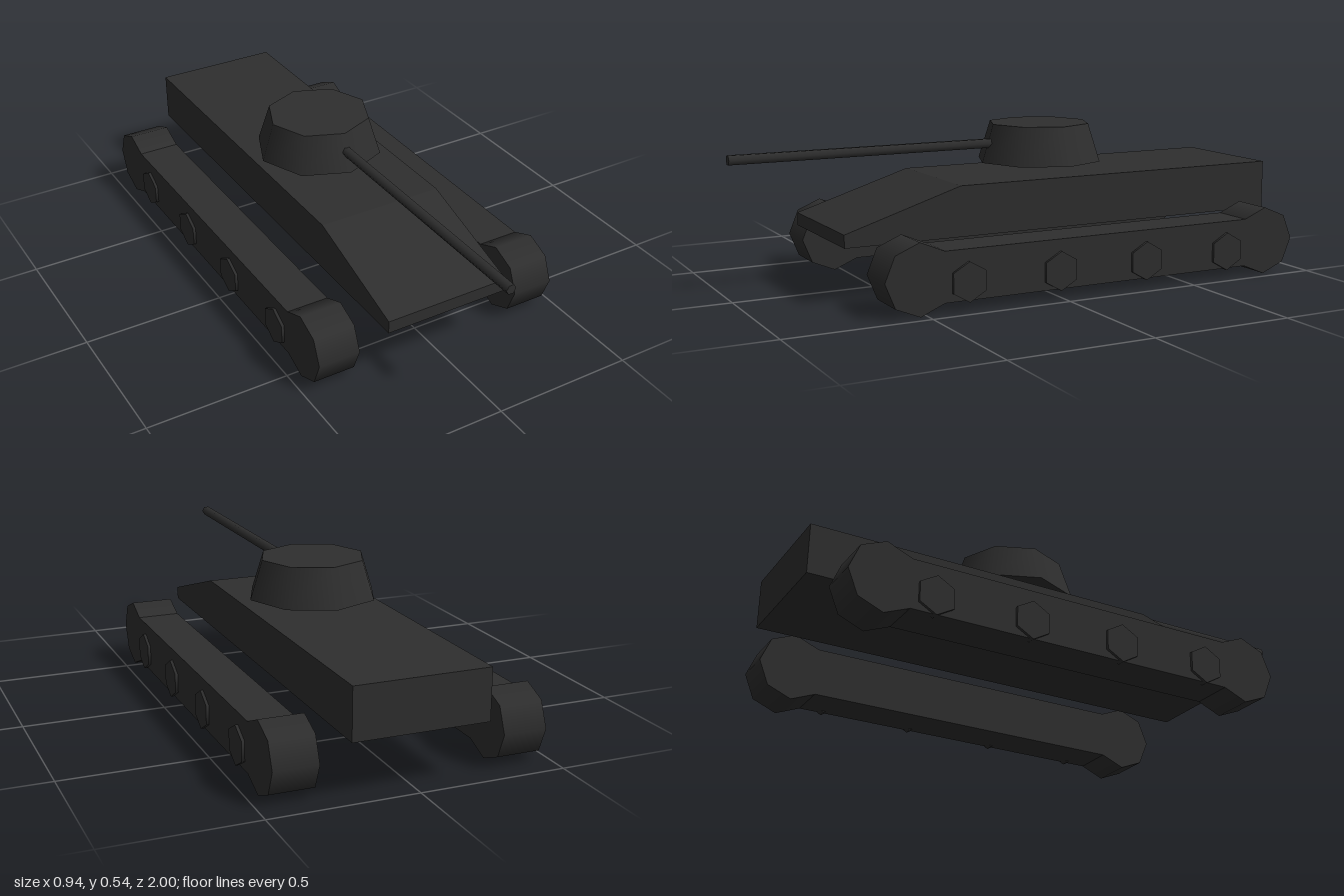
import * as THREE from 'three';

export function createModel() {
  const model = new THREE.Group();
  model.name = 'tank';
  const darkGrey = new THREE.MeshStandardMaterial({ color: 0x2e2e2e });
  darkGrey.name = 'darkGrey';

  function add(parent, name, geometry, x, y, z) {
    const mesh = new THREE.Mesh(geometry, darkGrey);
    mesh.name = name;
    mesh.position.set(x, y, z);
    parent.add(mesh);
    return mesh;
  }

  // Hull: side profile (z, y) extruded across the width
  const hullWidth = 0.46;
  const profile = new THREE.Shape([
    [-1, 0.195], [0.69, 0.195], [0.69, 0.24], [0.27, 0.37], [-1, 0.37],
  ].map(([z, y]) => new THREE.Vector2(-z, y)).reverse());
  const hull = new THREE.ExtrudeGeometry(profile, { depth: hullWidth, bevelEnabled: false });
  hull.translate(0, 0, -hullWidth / 2).rotateY(Math.PI / 2);
  add(model, 'hull', hull, 0, 0, 0);

  // Turret: eight-sided tapered drum hovering just above the hull
  add(model, 'turret', new THREE.CylinderGeometry(0.185, 0.229, 0.136, 8), 0, 0.473, -0.154);

  // Gun barrel: thin hexagonal rod
  const barrel = new THREE.CylinderGeometry(0.018, 0.018, 1, 6);
  barrel.rotateY(Math.PI / 6).rotateX(Math.PI / 2);
  add(model, 'gunBarrel', barrel, 0, 0.475, 0.5);

  // Tracks: flat run, octagonal end drums and hexagonal hubs on the outer face
  const drum = new THREE.CylinderGeometry(0.121, 0.121, 0.15, 8).rotateZ(Math.PI / 2);
  const hub = new THREE.CylinderGeometry(0.0675, 0.0675, 0.03, 6);
  hub.rotateY(Math.PI / 6).rotateZ(Math.PI / 2);
  for (const [side, label] of [[1, 'left'], [-1, 'right']]) {
    const track = new THREE.Group();
    track.name = label + 'Track';
    model.add(track);
    const x = side * 0.385;
    add(track, 'trackRun', new THREE.BoxGeometry(0.15, 0.17, 1.19), x, 0.121, -0.154);
    add(track, 'frontDrum', drum, x, 0.121, 0.525);
    add(track, 'rearDrum', drum, x, 0.121, -0.832);
    for (let i = 0; i < 4; i++) {
      add(track, 'wheelHub', hub, side * 0.455, 0.0985, 0.355 - i * 0.339);
    }
  }
  return model;
}
